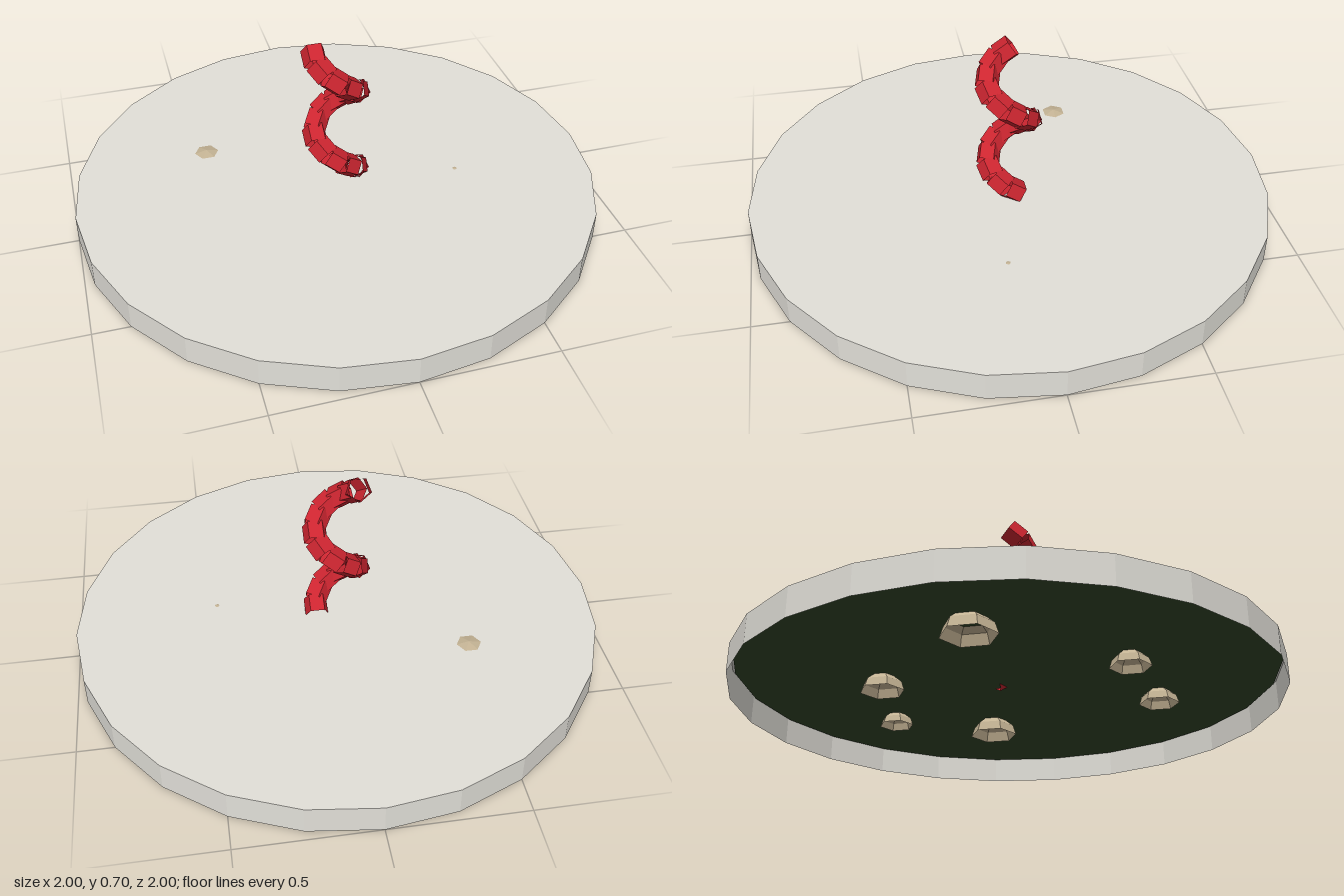
import * as THREE from 'three';

const material = (color) => new THREE.MeshStandardMaterial({ color, flatShading: true, side: THREE.DoubleSide });

export function createModel() {
  const group = new THREE.Group();
  const add = (name, geometry, mat, parent = group) => {
    const mesh = new THREE.Mesh(geometry, mat);
    mesh.name = name;
    parent.add(mesh);
    return mesh;
  };

  // Hollow 24-sided base: a rim and a top, open underneath
  const profile = [[1, 0], [1, 0.107], [0, 0.107]].map(([r, y]) => new THREE.Vector2(r, y));
  add('base', new THREE.LatheGeometry(profile, 24), material(0xe2e0d9));

  // Dark green ground layer just under the top
  const ground = add('ground', new THREE.CircleGeometry(0.99, 24), material(0x34482a));
  ground.rotation.set(-Math.PI / 2, 0, Math.PI / 2);
  ground.position.y = 0.096;

  // Six-sided hollow stones, mostly sunk below the ground: x, z, radius, top
  const stones = new THREE.Group();
  stones.name = 'stones';
  group.add(stones);
  const dome = new THREE.SphereGeometry(1, 6, 3, 0, Math.PI * 2, 0, Math.PI / 2);
  const stoneMaterial = material(0xc4b394);
  for (const [x, z, r, top] of [
    [-0.46, -0.28, 0.1, 0.117],
    [0.46, 0.09, 0.092, 0.109],
    [0.51, -0.3, 0.067, 0.105],
    [0.12, -0.44, 0.083, 0.105],
    [-0.36, 0.33, 0.075, 0.105],
    [-0.06, 0.58, 0.075, 0.105],
  ]) {
    const stone = add('stone', dome, stoneMaterial, stones);
    stone.scale.set(r, r * 0.8, r);
    stone.position.set(x, top - r * 0.8, z);
  }

  // Spiral of short open tube pieces, one and a half turns
  const spiral = new THREE.Group();
  spiral.name = 'spiral';
  group.add(spiral);
  const piece = new THREE.CylinderGeometry(0.046, 0.046, 0.066, 5, 1, true).rotateX(Math.PI / 2);
  const red = material(0xcc2530);
  const radius = 0.08, count = 16, pitch = 0.347 / (Math.PI * 2);
  for (let i = 0; i < count; i++) {
    const a = (i / (count - 1)) * Math.PI * 3;
    const segment = add('spiralSegment', piece, red, spiral);
    segment.position.set(radius * Math.cos(a), 0.135 + pitch * a, radius * Math.sin(a));
    const tangent = new THREE.Vector3(-radius * Math.sin(a), pitch, radius * Math.cos(a));
    segment.lookAt(tangent.add(segment.position));
  }
  return group;
}
